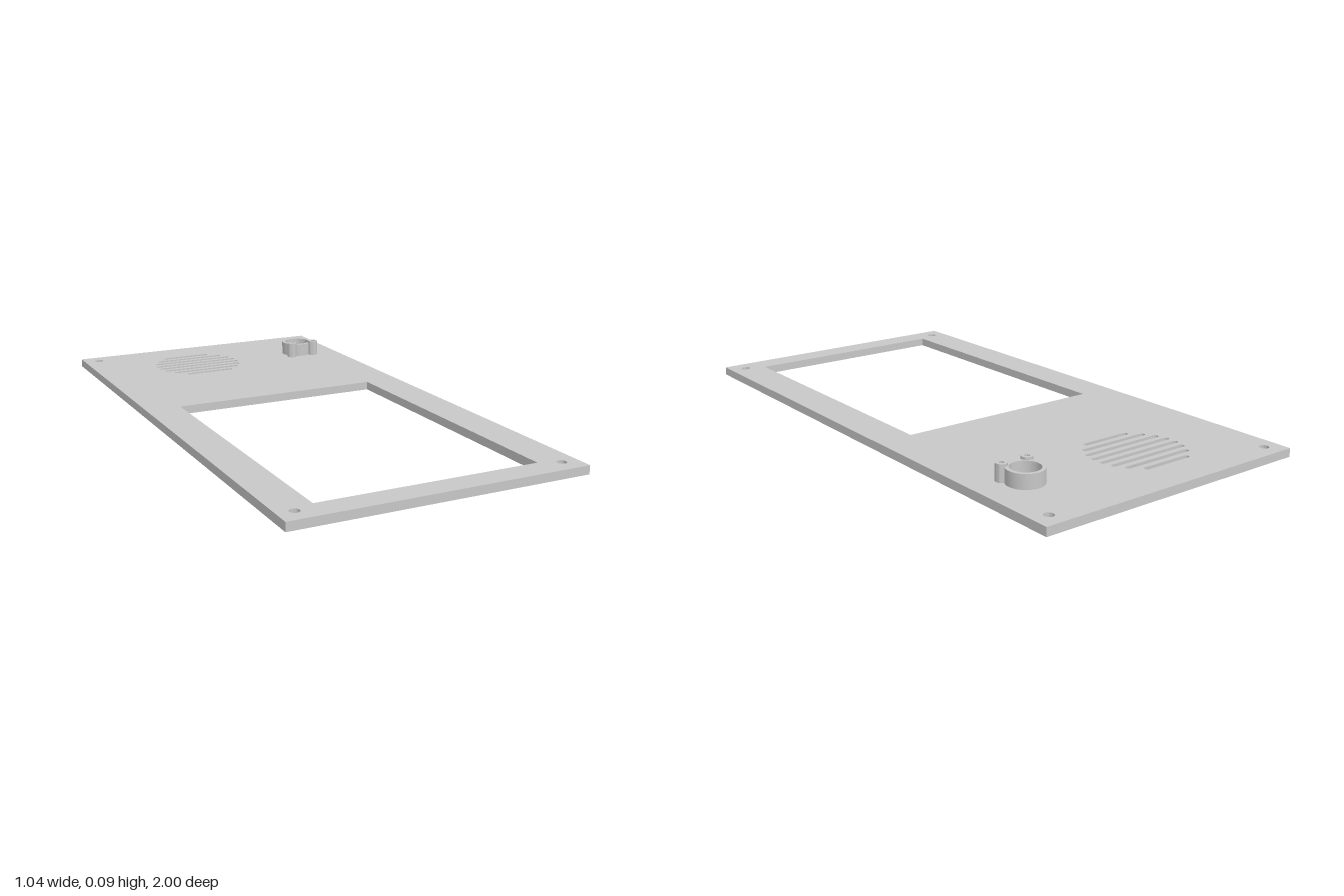
import * as THREE from 'three';
import { toCreasedNormals } from 'three/addons/utils/BufferGeometryUtils.js';

const PLATE = 0.03;

// Outlines are drawn in plan, counterclockwise: shape x = x, shape y = -z
function circle(x, z, r, Type = THREE.Path) {
  return new Type().absarc(x, -z, r, 0, Math.PI * 2, false);
}

function rect(x0, x1, z0, z1, Type = THREE.Path) {
  return new Type([[x0, z1], [x1, z1], [x1, z0], [x0, z0]].map(([x, z]) => new THREE.Vector2(x, -z)));
}

function slot(x, z, half, r) {
  const p = new THREE.Path();
  p.absarc(x + half - r, -z, r, -Math.PI / 2, Math.PI / 2, false);
  p.absarc(x - half + r, -z, r, Math.PI / 2, Math.PI * 1.5, false);
  p.closePath();
  return p;
}

export function createModel() {
  const model = new THREE.Group();
  model.name = 'facePlate';
  const grey = new THREE.MeshStandardMaterial({ color: 0xc7c7c7 });
  grey.name = 'grey plastic';

  function slab(name, shape, y0, y1) {
    const geo = new THREE.ExtrudeGeometry(shape, { depth: y1 - y0, bevelEnabled: false, curveSegments: 16 });
    geo.rotateX(-Math.PI / 2).translate(0, y0, 0);
    const mesh = new THREE.Mesh(toCreasedNormals(geo, 0.6), grey);
    mesh.name = name;
    model.add(mesh);
  }

  // Panel with display window
  const panel = rect(-0.518, 0.518, -1, 1, THREE.Shape);
  panel.holes.push(rect(-0.39, 0.387, -0.151, 0.91));

  // Corner screw holes
  for (const x of [-0.461, 0.459])
    for (const z of [-0.941, 0.938]) panel.holes.push(circle(x, z, 0.0165));

  // Round speaker grille made of slots
  [0.097, 0.138, 0.161, 0.171, 0.171, 0.161, 0.138, 0.097].forEach((half, i) => {
    panel.holes.push(slot(-0.105, -0.85 + i * 0.0392, half, 0.0095));
  });

  // Microphone holes: one in the middle, six around it
  const mx = 0.355, mz = -0.713;
  panel.holes.push(circle(mx, mz, 0.009));
  for (let i = 0; i < 6; i++) {
    const a = i * Math.PI / 3;
    panel.holes.push(circle(mx + 0.025 * Math.cos(a), mz + 0.025 * Math.sin(a), 0.009));
  }
  slab('panel', panel, 0, PLATE);

  // Microphone collar
  const collar = circle(mx, mz, 0.063, THREE.Shape);
  collar.holes.push(circle(mx, mz, 0.05));
  slab('microphoneCollar', collar, PLATE, 0.08);

  // Screw bosses beside the collar
  for (const side of [-1, 1]) {
    const x = mx + side * 0.0495, z = -0.66;
    const boss = circle(x, z, 0.0195, THREE.Shape);
    boss.holes.push(circle(x, z, 0.009));
    slab(side < 0 ? 'rightScrewBoss' : 'leftScrewBoss', boss, PLATE, 0.089);
  }
  return model;
}
